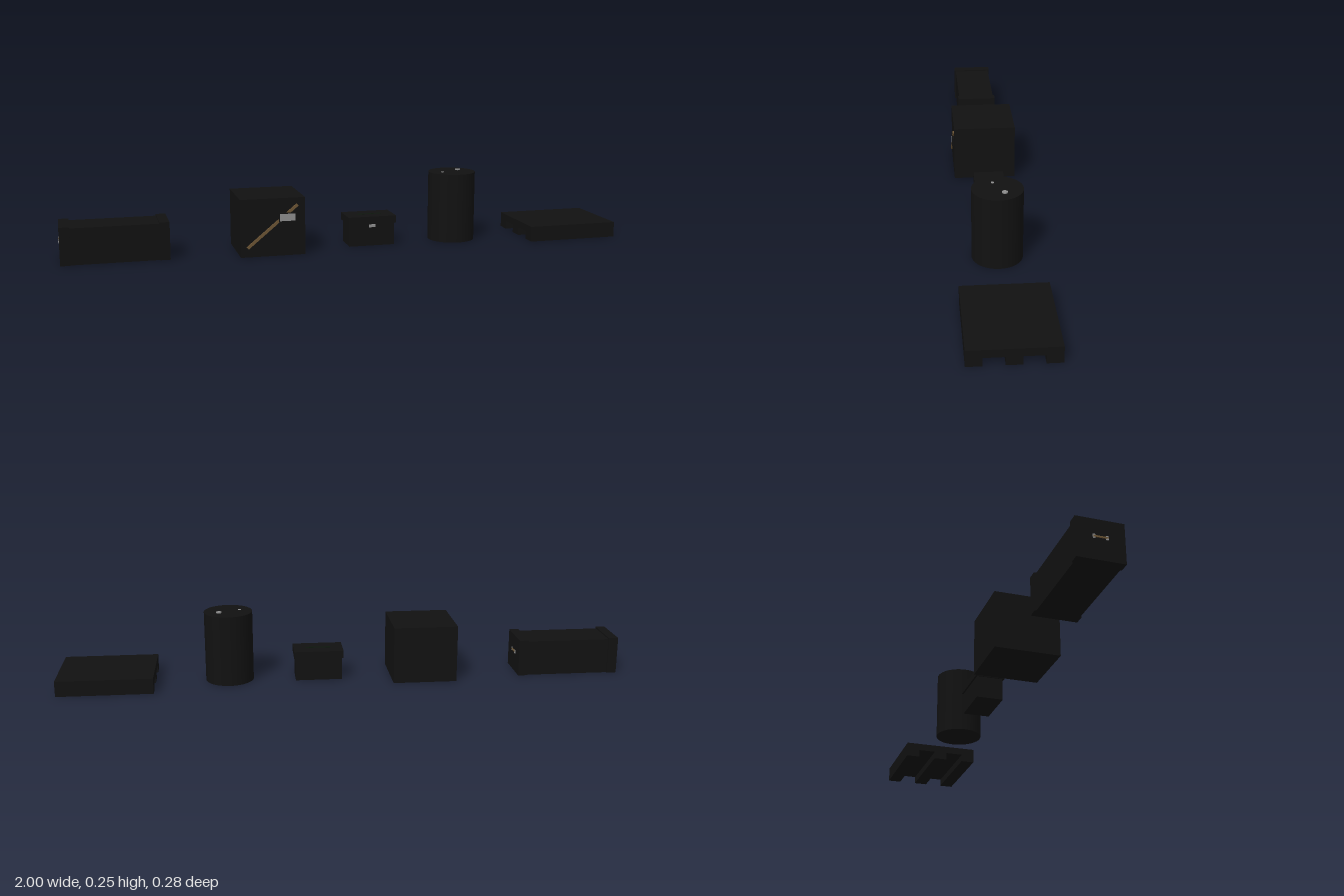
import * as THREE from 'three';

const paint = (color) => new THREE.MeshStandardMaterial({ color });
const black = paint(0x111111);
const brass = paint(0x6b5434);
const steel = paint(0x8c8c8c);
const green = paint(0x0c160c);

function add(parent, name, geometry, material, x, y, z) {
  const mesh = new THREE.Mesh(geometry, material);
  mesh.name = name;
  mesh.position.set(x, y, z);
  parent.add(mesh);
  return mesh;
}

const box = (parent, name, w, h, d, x, y, z, material = black) =>
  add(parent, name, new THREE.BoxGeometry(w, h, d), material, x, y, z);

const disc = (parent, name, r, h, x, y, z, material = black, sides = 32) =>
  add(parent, name, new THREE.CylinderGeometry(r, r, h, sides), material, x, y, z);

function group(name, x) {
  const g = new THREE.Group();
  g.name = name;
  g.position.x = x;
  return g;
}

// Long chest with raised end bands and a bar handle on each end
function longChest() {
  const g = group('longChest', -0.815);
  box(g, 'chestBody', 0.362, 0.126, 0.14, 0, 0.063, 0);
  for (const s of [-1, 1]) {
    box(g, 'endBand', 0.034, 0.131, 0.15, s * 0.165, 0.0655, 0);
    box(g, 'handleBar', 0.003, 0.005, 0.044, s * 0.1835, 0.074, 0, brass);
    for (const z of [-0.02, 0.02])
      box(g, 'handleMount', 0.003, 0.013, 0.007, s * 0.183, 0.074, z, steel);
  }
  return g;
}

// Square crate with a diagonal brace and a blank label plate
function crate() {
  const g = group('crate', -0.285);
  box(g, 'crateBody', 0.226, 0.202, 0.226, 0, 0.101, 0);
  const brace = box(g, 'diagonalBrace', 0.228, 0.01, 0.006, -0.002, 0.105, 0.115, brass);
  brace.rotation.z = Math.atan2(0.145, 0.176);
  box(g, 'labelPlate', 0.062, 0.032, 0.007, 0.05, 0.135, 0.1165);
  box(g, 'labelFace', 0.054, 0.025, 0.002, 0.05, 0.135, 0.1195, steel);
  return g;
}

// Small box with an overhanging lid and a front latch
function smallBox() {
  const g = group('smallBox', 0.088);
  box(g, 'boxBody', 0.166, 0.08, 0.096, 0, 0.04, 0);
  box(g, 'boxLid', 0.176, 0.027, 0.107, 0, 0.0935, 0);
  box(g, 'lidMarking', 0.09, 0.001, 0.012, 0, 0.107, 0, green);
  box(g, 'latch', 0.024, 0.01, 0.005, 0, 0.073, 0.05, steel);
  return g;
}

// Drum with a large and a small stopper in its top
function drum() {
  const g = group('drum', 0.405);
  disc(g, 'drumBody', 0.085, 0.25, 0, 0.125, 0, black, 48);
  disc(g, 'largeStopper', 0.0095, 0.006, 0.032, 0.251, -0.021, steel, 16);
  disc(g, 'smallStopper', 0.0055, 0.003, -0.04, 0.25, 0.013, steel, 16);
  return g;
}

// Pallet: a flat deck on three runners
function pallet() {
  const g = group('pallet', 0.8335);
  box(g, 'deck', 0.333, 0.027, 0.28, 0, 0.0415, 0);
  for (const z of [-0.115, 0, 0.115])
    box(g, 'runner', 0.333, 0.029, 0.05, 0, 0.0145, z);
  return g;
}

export function createModel() {
  const model = new THREE.Group();
  model.name = 'cargoSet';
  model.add(longChest(), crate(), smallBox(), drum(), pallet());
  return model;
}
